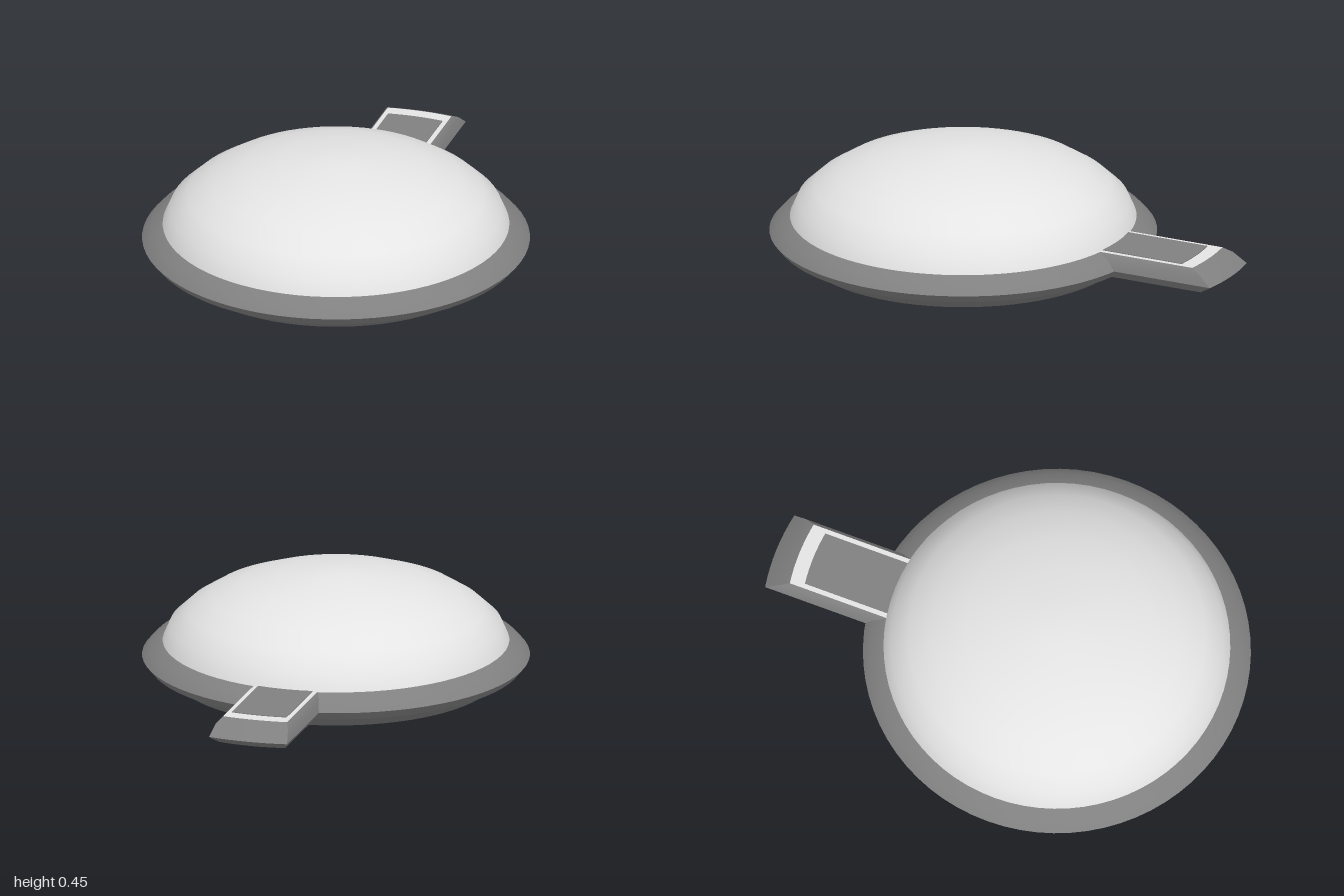
import * as THREE from 'three';
import { toCreasedNormals } from 'three/addons/utils/BufferGeometryUtils.js';

const DISC_Z = 0.213;
const ROOT_Z = -0.44; // inner end of the handle, buried under the dome

// Surface of revolution with edges kept sharp above the crease angle
function lathe(name, points, material, crease) {
  const profile = points.map(([r, y]) => new THREE.Vector2(r, y));
  const mesh = new THREE.Mesh(toCreasedNormals(new THREE.LatheGeometry(profile, 72), crease), material);
  mesh.name = name;
  mesh.position.z = DISC_Z;
  return mesh;
}

// Tongue outline at one height: straight sides and a gently bowed outer end
function outline(halfWidth, y, endZ, bow) {
  const pts = [[halfWidth, y, ROOT_Z]];
  for (let i = 0; i <= 8; i++) {
    const t = 1 - i / 4;
    pts.push([halfWidth * t, y, endZ - bow * (1 - t * t)]);
  }
  pts.push([-halfWidth, y, ROOT_Z]);
  return pts;
}

function fan(ring, up) {
  const out = [];
  for (let i = 1; i < ring.length - 1; i++) {
    out.push(ring[0], ...(up ? [ring[i], ring[i + 1]] : [ring[i + 1], ring[i]]));
  }
  return out;
}

function wall(low, high) {
  const out = [];
  low.forEach((a, i) => {
    const j = (i + 1) % low.length;
    out.push(a, low[j], high[j], a, high[j], high[i]);
  });
  return out;
}

function meshFrom(name, corners, material) {
  const geometry = new THREE.BufferGeometry();
  geometry.setAttribute('position', new THREE.Float32BufferAttribute(corners.flat(), 3));
  const mesh = new THREE.Mesh(toCreasedNormals(geometry, 0.5), material);
  mesh.name = name;
  return mesh;
}

export function createModel() {
  const darkGrey = new THREE.MeshStandardMaterial({ name: 'darkGrey', color: 0x808080 });
  const paleGrey = new THREE.MeshStandardMaterial({ name: 'paleGrey', color: 0xe4e4e4 });

  const model = new THREE.Group();
  model.name = 'domedDisc';

  // Base pan with a bevelled flange
  model.add(lathe('baseRim', [
    [0, 0], [0.65, 0], [0.735, 0.06], [0.755, 0.06], [0.783, 0.095],
    [0.75, 0.132], [0.7, 0.156], [0, 0.156],
  ], darkGrey, 0.42));

  // Shallow dome
  model.add(lathe('dome', [
    [0.7, 0.156], [0.67, 0.225], [0.6, 0.29], [0.505, 0.35],
    [0.375, 0.398], [0.23, 0.43], [0.1, 0.446], [0, 0.454],
  ], paleGrey, 0.8));

  // Handle: bevelled body, pale border on top, dark inset panel
  const handle = new THREE.Group();
  handle.name = 'handle';
  const rings = [
    outline(0.14, 0.06, -0.93, 0.015),
    outline(0.165, 0.095, -0.985, 0.015),
    outline(0.152, 0.138, -0.93, 0.012),
    outline(0.135, 0.157, -0.89, 0.01),
  ];
  const body = fan(rings[0], false);
  for (let i = 0; i < rings.length - 1; i++) body.push(...wall(rings[i], rings[i + 1]));
  handle.add(meshFrom('handleBody', body, darkGrey));
  handle.add(meshFrom('handleBorder', fan(rings[3], true), paleGrey));

  const panelLow = outline(0.115, 0.157, -0.832, 0.008);
  const panelHigh = outline(0.115, 0.16, -0.832, 0.008);
  handle.add(meshFrom('handlePanel', [...wall(panelLow, panelHigh), ...fan(panelHigh, true)], darkGrey));
  model.add(handle);

  return model;
}
